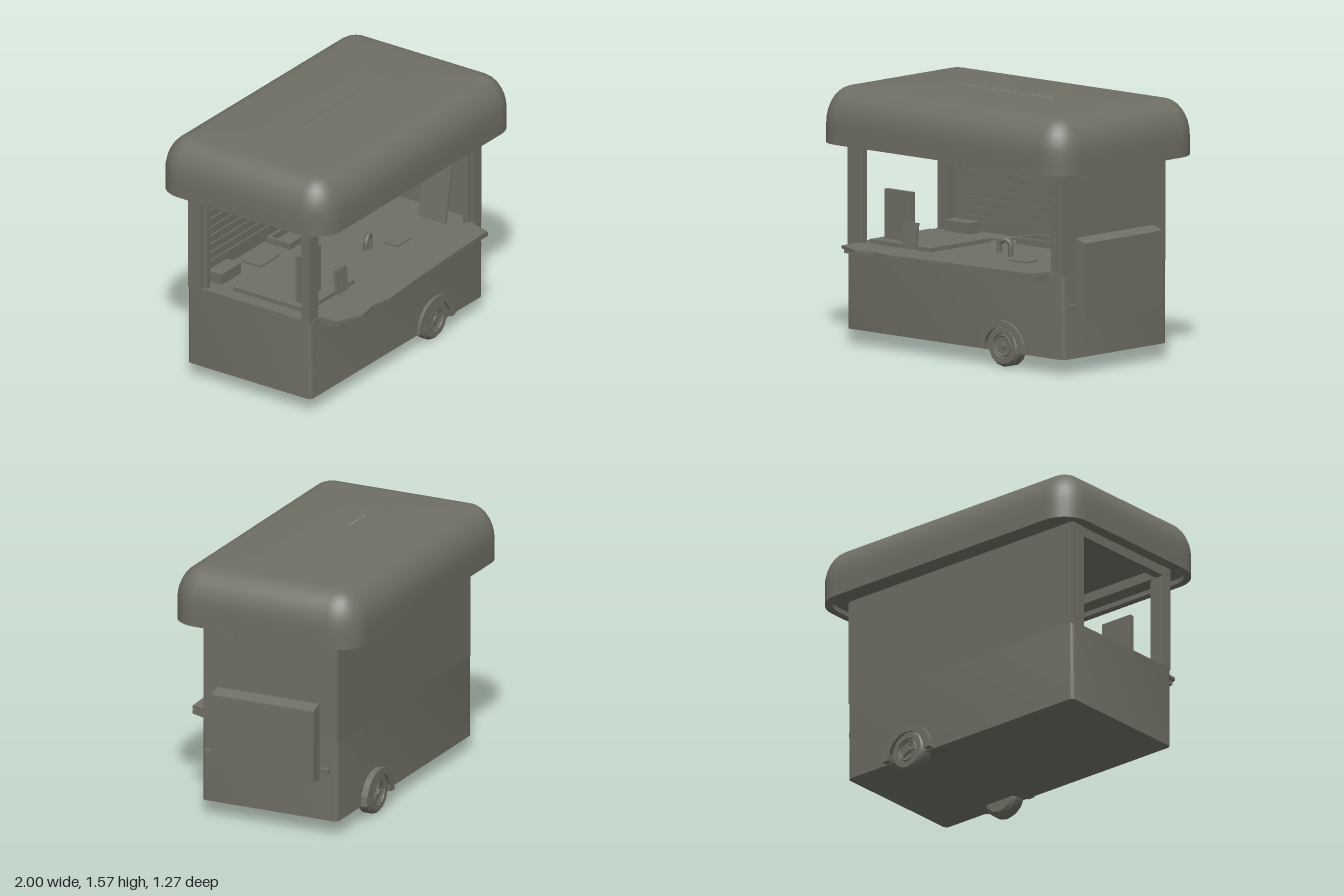
import * as THREE from 'three';
import { toCreasedNormals } from 'three/addons/utils/BufferGeometryUtils.js';

const clay = new THREE.MeshStandardMaterial({ color: 0x6f6f65 });
clay.name = 'olive grey';

function add(parent, name, geometry) {
  const mesh = new THREE.Mesh(geometry, clay);
  mesh.name = name;
  parent.add(mesh);
  return mesh;
}

// Box given by its lower and upper limits on each axis
function block(parent, name, x0, x1, y0, y1, z0, z1) {
  const mesh = add(parent, name, new THREE.BoxGeometry(x1 - x0, y1 - y0, z1 - z0));
  mesh.position.set((x0 + x1) / 2, (y0 + y1) / 2, (z0 + z1) / 2);
  return mesh;
}

function extrude(points, depth) {
  const shape = new THREE.Shape(points.map(([x, y]) => new THREE.Vector2(x, y)));
  return new THREE.ExtrudeGeometry(shape, { depth, bevelEnabled: false });
}

// Rounded rectangle outline in plan, as [x, z] points
function outline(hx, hz, r, steps = 8) {
  const pts = [];
  for (let c = 0; c < 4; c++) {
    const sx = c === 0 || c === 3 ? 1 : -1;
    const sz = c < 2 ? 1 : -1;
    for (let i = 0; i <= steps; i++) {
      const a = (c + i / steps) * Math.PI / 2;
      pts.push([sx * (hx - r) + r * Math.cos(a), sz * (hz - r) + r * Math.sin(a)]);
    }
  }
  return pts;
}

// Domed roof: stacked rounded outlines from the ceiling, round the skirt, to the top
function roofGeometry() {
  const levels = [[0.99, 1.25], [0.045, 1.25], [0.045, 1.22], [0, 1.22], [0, 1.29]];
  for (let i = 0; i <= 8; i++) {
    const a = i / 8 * Math.PI / 2;
    levels.push([0.165 * (1 - Math.cos(a)), 1.34 + 0.22 * Math.sin(a)]);
  }
  levels.push([0.99, 1.562]);
  const pos = [], index = [];
  for (const [inset, y] of levels) {
    const flat = inset > 0.9;
    const ring = flat ? outline(0.38, 0.001, 0.001)
      : outline(1 - inset, 0.62 - inset, Math.max(0.18 - inset, 0.015));
    for (const [x, z] of ring) pos.push(x, y, z - 0.02);
  }
  const n = pos.length / 3 / levels.length;
  for (let l = 0; l < levels.length - 1; l++) {
    for (let i = 0; i < n; i++) {
      const a = l * n + i, b = l * n + (i + 1) % n;
      index.push(a, a + n, b, b, a + n, b + n);
    }
  }
  const g = new THREE.BufferGeometry();
  g.setAttribute('position', new THREE.Float32BufferAttribute(pos, 3));
  g.setIndex(index);
  return toCreasedNormals(g, 0.6);
}

function addBody(root) {
  const body = new THREE.Group();
  body.name = 'body';
  root.add(body);

  // Lower cabin with softly rounded upright edges; its top is the worktop
  const base = extrude(outline(0.88, 0.45, 0.025, 3), 0.51);
  base.rotateX(-Math.PI / 2);
  add(body, 'lowerCabin', toCreasedNormals(base, 0.7)).position.set(-0.01, 0.09, -0.02);

  // Closed walls
  block(body, 'backWall', -0.88, 0.86, 0.59, 1.26, -0.47, -0.44);
  block(body, 'endWall', 0.83, 0.87, 0.59, 1.26, -0.46, 0.42);

  // Posts and headers round the two openings
  block(body, 'frontPost', -0.89, -0.81, 0.59, 1.26, 0.36, 0.425);
  block(body, 'frontPost', 0.78, 0.865, 0.59, 1.26, 0.36, 0.425);
  block(body, 'backPost', -0.89, -0.82, 0.59, 1.26, -0.465, -0.37);
  block(body, 'frontHeader', -0.85, 0.84, 1.19, 1.26, 0.36, 0.42);
  block(body, 'sideHeader', -0.885, -0.83, 1.19, 1.26, -0.42, 0.4);

  // Inner opening frame
  block(body, 'frontFrame', -0.81, -0.78, 0.58, 1.19, 0.37, 0.41);
  block(body, 'frontFrame', 0.75, 0.78, 0.58, 1.19, 0.37, 0.41);
  block(body, 'sideFrame', -0.87, -0.84, 0.59, 1.19, -0.37, -0.34);

  // Slatted lining of the back wall
  for (let i = 0; i < 10; i++) {
    const y = 0.66 + i * 0.055;
    block(body, 'wallSlat', -0.76, 0.72, y, y + 0.035, -0.445, -0.43);
  }

  // Corner marker lights and end wall vent
  for (const z of [0.375, -0.395]) block(body, 'markerLight', 0.86, 0.9, 0.39, 0.42, z - 0.025, z + 0.025);
  block(body, 'ventHood', 0.865, 0.88, 1.15, 1.17, 0.21, 0.33);
}

function addCounter(root) {
  const counter = new THREE.Group();
  counter.name = 'counter';
  root.add(counter);

  // Serving shelf with an uneven front edge
  const shelf = extrude([[-0.82, -0.4], [-0.81, -0.56], [-0.72, -0.6], [-0.64, -0.635], [-0.5, -0.61],
    [-0.36, -0.635], [-0.05, -0.61], [0.3, -0.59], [0.72, -0.57], [0.77, -0.4]].reverse(), 0.018);
  shelf.rotateX(-Math.PI / 2);
  add(counter, 'servingShelf', shelf).position.y = 0.595;

  // Wedge under the shelf
  const wedge = extrude([[0.41, 0.54], [0.56, 0.57], [0.56, 0.596], [0.41, 0.596]], 1.53);
  wedge.rotateY(-Math.PI / 2);
  add(counter, 'shelfSupport', wedge).position.x = 0.74;

  // Tray, menu board and small goods
  block(counter, 'tray', -0.8, -0.3, 0.6, 0.625, -0.2, 0.33);
  block(counter, 'menuBoard', -0.75, -0.53, 0.62, 0.925, 0.22, 0.25);
  block(counter, 'smallCard', -0.51, -0.4, 0.61, 0.765, 0.33, 0.35).rotation.x = -0.1;
  block(counter, 'storageBox', -0.78, -0.58, 0.6, 0.67, -0.4, -0.3);
  block(counter, 'cuttingBoard', -0.45, -0.25, 0.6, 0.612, -0.38, -0.25);
  block(counter, 'napkinPad', 0.25, 0.4, 0.6, 0.61, 0.15, 0.25);

  // Open basin made of four rims
  block(counter, 'basinRim', -0.15, 0.2, 0.6, 0.64, -0.27, -0.25);
  block(counter, 'basinRim', -0.15, 0.2, 0.6, 0.64, -0.42, -0.4);
  for (const x of [-0.15, 0.18]) block(counter, 'basinRim', x, x + 0.02, 0.6, 0.64, -0.4, -0.27);

  // Bent tap
  const bend = new THREE.CatmullRomCurve3([[0.15, 0.6, 0.12], [0.15, 0.68, 0.12], [0.12, 0.7, 0.13],
    [0.085, 0.68, 0.14], [0.08, 0.62, 0.14]].map(p => new THREE.Vector3(...p)));
  add(counter, 'tap', new THREE.TubeGeometry(bend, 12, 0.016, 8));

  // Leaning panel beside the right post
  block(counter, 'leaningPanel', 0.7, 0.715, 0.6, 0.95, 0.1, 0.3).rotation.z = -0.18;
}

function addLocker(root) {
  // End locker with a sloped lid
  const g = extrude([[0.86, 0.34], [0.95, 0.34], [0.95, 0.79], [0.86, 0.818]], 0.68);
  add(root, 'endLocker', g).position.z = -0.35;
}

// Wheel and mudguard, built facing +z about the axle
function addWheel(root, z, side) {
  const wheel = new THREE.Group();
  wheel.name = side > 0 ? 'frontWheel' : 'backWheel';
  wheel.position.set(0.38, 0.125, z);
  if (side < 0) wheel.rotation.y = Math.PI;
  root.add(wheel);

  // Tyre with shoulders and a recessed rim
  const profile = [[0.001, -0.05], [0.105, -0.05], [0.128, -0.03], [0.128, 0.03], [0.11, 0.05],
    [0.075, 0.05], [0.068, 0.03], [0.001, 0.03]].map(p => new THREE.Vector2(...p));
  const tyre = new THREE.LatheGeometry(profile, 14);
  tyre.rotateX(Math.PI / 2);
  add(wheel, 'tyre', toCreasedNormals(tyre, 0.5));
  add(wheel, 'rimRing', new THREE.TorusGeometry(0.062, 0.008, 6, 16)).position.z = 0.04;
  const hub = new THREE.CylinderGeometry(0.022, 0.026, 0.03, 10);
  hub.rotateX(Math.PI / 2);
  add(wheel, 'hub', hub).position.z = 0.04;
  for (let i = 0; i < 5; i++) {
    const a = i / 5 * Math.PI * 2;
    const spoke = add(wheel, 'spoke', new THREE.BoxGeometry(0.045, 0.012, 0.015));
    spoke.position.set(Math.cos(a) * 0.04, Math.sin(a) * 0.04, 0.035);
    spoke.rotation.z = a;
  }

  // Faceted mudguard arch
  const arch = [];
  for (let i = 0; i <= 10; i++) arch.push([0.185 * Math.cos(i / 10 * Math.PI), 0.185 * Math.sin(i / 10 * Math.PI) - 0.03]);
  for (let i = 10; i >= 0; i--) arch.push([0.138 * Math.cos(i / 10 * Math.PI), 0.145 * Math.sin(i / 10 * Math.PI) - 0.03]);
  add(wheel, 'mudguard', extrude(arch, 0.06));
}

export function createModel() {
  const root = new THREE.Group();
  root.name = 'foodTrailer';
  addBody(root);
  addCounter(root);
  addLocker(root);
  add(root, 'roof', roofGeometry());
  addWheel(root, 0.39, 1);
  addWheel(root, -0.45, -1);
  return root;
}
